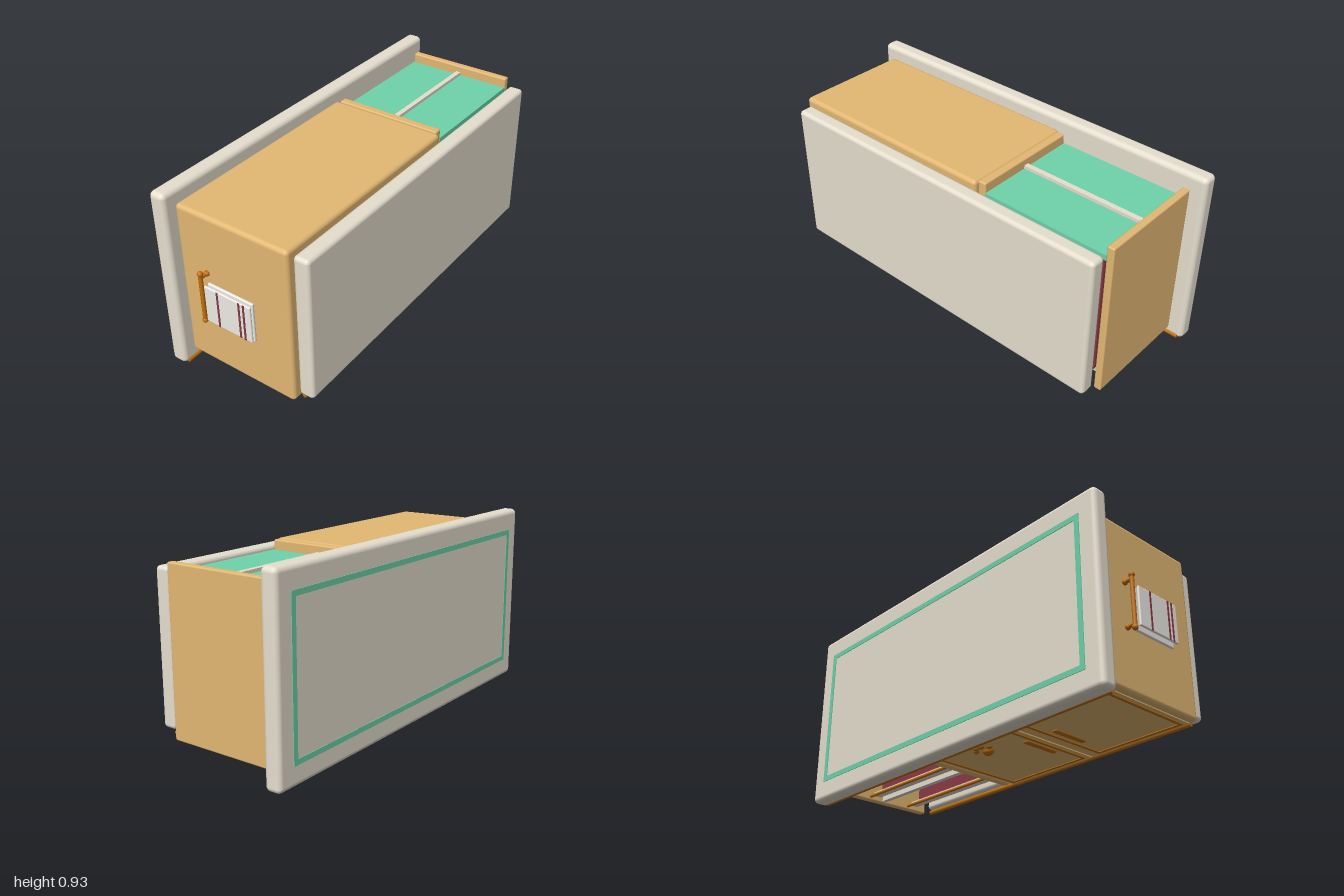
import * as THREE from 'three';
import { RoundedBoxGeometry } from 'three/addons/geometries/RoundedBoxGeometry.js';

const mat = (color) => new THREE.MeshStandardMaterial({ color });

export function createModel() {
  const root = new THREE.Group();
  const wood = mat(0xe3b873), cream = mat(0xe6dfcf), teal = mat(0x6fd2ab);
  const copper = mat(0xc0700f), red = mat(0x8c3a44), cloth = mat(0xefece6);

  const add = (name, geo, m, x, y, z) => {
    const mesh = new THREE.Mesh(geo, m);
    mesh.name = name;
    mesh.position.set(x, y, z);
    root.add(mesh);
    return mesh;
  };
  // Box given by its lower and upper limits; r rounds the edges
  const box = (name, m, [x0, x1], [y0, y1], [z0, z1], r = 0) => {
    const s = [x1 - x0, y1 - y0, z1 - z0];
    const geo = r ? new RoundedBoxGeometry(...s, 4, r) : new THREE.BoxGeometry(...s);
    return add(name, geo, m, (x0 + x1) / 2, (y0 + y1) / 2, (z0 + z1) / 2);
  };
  // Round bar between two points
  const bar = (name, m, a, b, r) => {
    const p = new THREE.Vector3(...a), q = new THREE.Vector3(...b);
    const mid = p.clone().add(q).multiplyScalar(0.5);
    const mesh = add(name, new THREE.CylinderGeometry(r, r, p.distanceTo(q), 16), m, mid.x, mid.y, mid.z);
    mesh.quaternion.setFromUnitVectors(new THREE.Vector3(0, 1, 0), q.sub(p).normalize());
    return mesh;
  };
  // Flat rectangular frame as an extruded shape with a hole
  const frameGeo = (w, h, t, depth) => {
    const rect = (P, a, b) => new P([[-a, -b], [a, -b], [a, b], [-a, b]].map((p) => new THREE.Vector2(...p)));
    const s = rect(THREE.Shape, w / 2, h / 2);
    s.holes.push(rect(THREE.Path, w / 2 - t, h / 2 - t));
    return new THREE.ExtrudeGeometry(s, { depth, bevelEnabled: false }).translate(0, 0, -depth / 2);
  };

  // Worktop and plinth slabs with their trims
  box('worktop', cream, [-1, 1], [0.004, 0.934], [-0.381, -0.298], 0.025);
  add('worktopInlay', frameGeo(1.82, 0.73, 0.026, 0.006), teal, 0, 0.466, -0.381);
  bar('worktopTrim', copper, [-0.975, 0.016, -0.302], [0.975, 0.016, -0.302], 0.012);
  box('plinth', cream, [-0.91, 0.91], [0.095, 0.84], [0.305, 0.383], 0.02);
  bar('plinthTrim', copper, [-0.89, 0.077, 0.319], [0.89, 0.077, 0.319], 0.012);

  // Cabinet body and upright boards of the open bay
  box('cabinetBody', wood, [-0.94, 0.204], [0.065, 0.871], [-0.299, 0.303], 0.02);
  box('bayDivider', wood, [0.205, 0.247], [0.065, 0.871], [-0.28, 0.28], 0.008);
  box('bayEndBoard', wood, [0.898, 0.935], [0.065, 0.871], [-0.28, 0.28], 0.008);

  // Open bay: back board, middle shelf, lined compartments and rails
  box('bayBack', teal, [0.245, 0.9], [0.795, 0.822], [-0.28, 0.28]);
  box('middleShelf', cream, [0.245, 0.9], [0.075, 0.838], [-0.012, 0.014]);
  for (const z of [0.2, -0.05]) {
    box('shelfLiner', red, [0.29, 0.86], [0.11, 0.79], [z, z + 0.035], 0.01);
    box('shelfLip', cream, [0.27, 0.88], [0.085, 0.105], [z - 0.03, z + 0.01]);
    bar('shelfRail', copper, [0.25, 0.085, z - 0.04], [0.9, 0.085, z - 0.04], 0.008);
  }

  // Doors on the underside, each with a frame and a pull handle
  for (const [x0, x1, hx] of [[-0.35, 0.18, -0.285], [-0.91, -0.39, -0.465]]) {
    box('door', wood, [x0, x1], [0.06, 0.07], [-0.27, 0.28]);
    const frame = add('doorFrame', frameGeo(x1 - x0 - 0.04, 0.51, 0.015, 0.01), copper, (x0 + x1) / 2, 0.061, 0.005);
    frame.rotation.x = Math.PI / 2;
    box('doorHandle', copper, [hx - 0.014, hx + 0.014], [0.052, 0.066], [-0.095, 0.1], 0.006);
  }

  // Paw ornament: one pad and four toes
  const blob = (name, x, z, r) => add(name, new THREE.SphereGeometry(r, 20, 14), copper, x, 0.062, z).scale.set(1, 0.8, 0.85);
  blob('pawPad', -0.08, -0.13, 0.03);
  for (const [x, z] of [[-0.124, -0.165], [-0.097, -0.19], [-0.063, -0.19], [-0.036, -0.165]]) blob('pawToe', x, z, 0.016);

  // Towel rail on the right end
  bar('towelRail', copper, [-0.983, 0.345, -0.145], [-0.983, 0.595, -0.145], 0.01);
  for (const y of [0.36, 0.575]) {
    bar('towelRailPost', copper, [-0.983, y, -0.145], [-0.93, y, -0.145], 0.009);
    add('towelRailFoot', new THREE.SphereGeometry(0.014, 14, 10), copper, -0.945, y, -0.145);
  }
  for (const y of [0.345, 0.595]) add('towelRailKnob', new THREE.SphereGeometry(0.014, 14, 10), copper, -0.983, y, -0.145);

  // Hanging towel in two layers with stripes
  box('towelFront', cloth, [-0.995, -0.983], [0.36, 0.55], [-0.12, 0.135], 0.005);
  box('towelBack', cloth, [-0.972, -0.958], [0.345, 0.55], [-0.12, 0.13], 0.005);
  for (const z of [-0.05, 0.07, 0.095]) box('towelStripe', red, [-0.997, -0.99], [0.362, 0.548], [z, z + 0.01]);

  return root;
}
